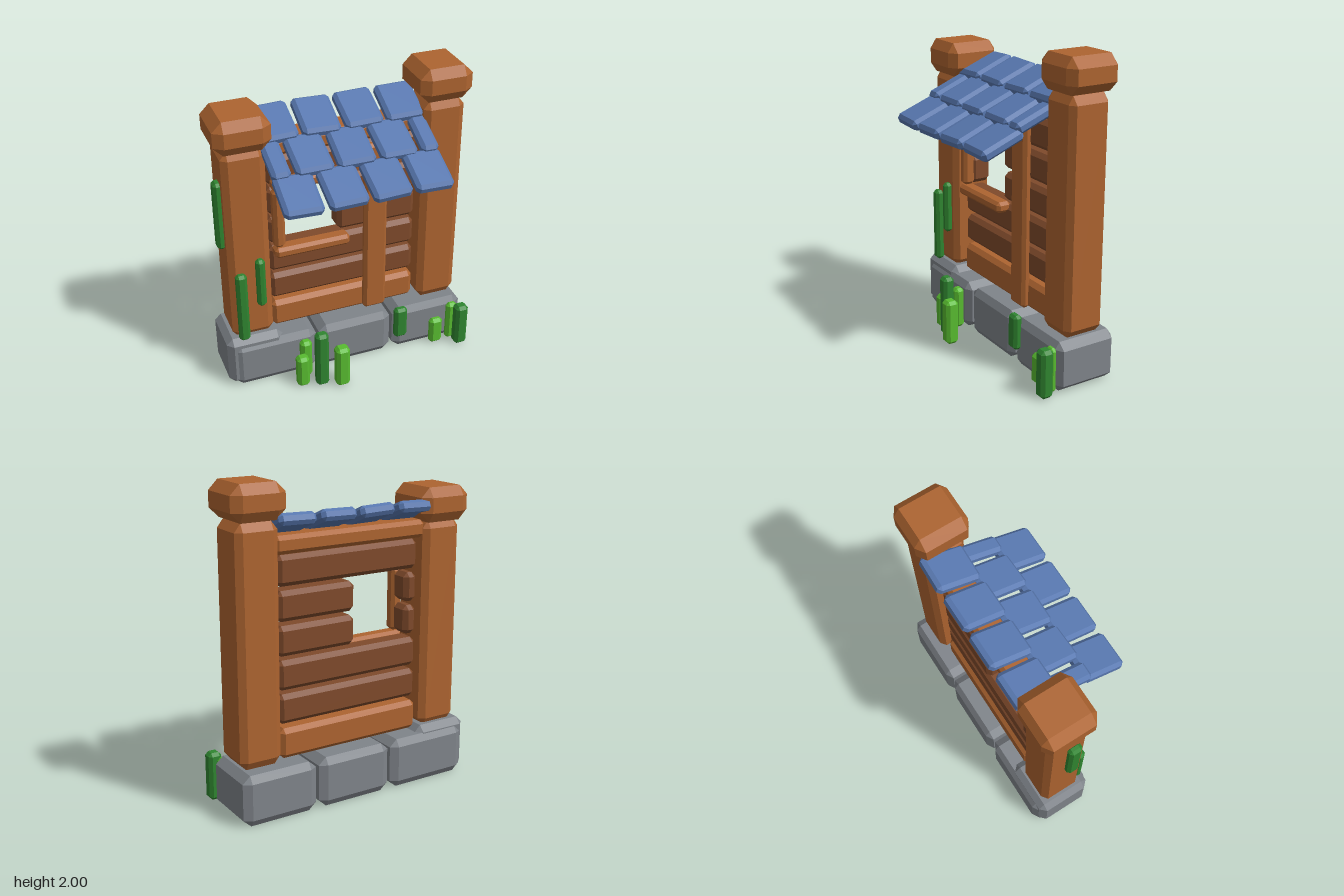
import * as THREE from 'three';
import { ConvexGeometry } from 'three/addons/geometries/ConvexGeometry.js';

const material = (name, color) => {
  const m = new THREE.MeshStandardMaterial({ color });
  m.name = name;
  return m;
};

// Box with flat chamfered edges and corners; cut is the chamfer along x, y, z
function chamferBox(w, h, d, cut) {
  const half = [w / 2, h / 2, d / 2];
  const c = (Array.isArray(cut) ? cut : [cut, cut, cut]).map((v, i) => Math.min(v, half[i] * 0.8));
  const points = [];
  for (const sx of [-1, 1]) for (const sy of [-1, 1]) for (const sz of [-1, 1]) {
    for (let axis = 0; axis < 3; axis++) {
      const p = half.map((v, i) => (i === axis ? v : v - c[i]));
      points.push(new THREE.Vector3(p[0] * sx, p[1] * sy, p[2] * sz));
    }
  }
  return new ConvexGeometry(points);
}

export function createModel() {
  const model = new THREE.Group();
  model.name = 'wallWithWindow';
  const wood = material('wood', 0xad6430);
  const darkWood = material('darkWood', 0x7f4a2b);
  const stone = material('stone', 0x7f848a);
  const slate = material('blueSlate', 0x5878b0);
  const darkGreen = material('darkGreen', 0x2f8530);
  const lightGreen = material('lightGreen', 0x58bb30);

  // Chamfered block given by its extents
  function block(name, mat, [x0, x1], [y0, y1], [z0, z1], cut) {
    const mesh = new THREE.Mesh(chamferBox(x1 - x0, y1 - y0, z1 - z0, cut), mat);
    mesh.position.set((x0 + x1) / 2, (y0 + y1) / 2, (z0 + z1) / 2);
    mesh.name = name;
    model.add(mesh);
    return mesh;
  }

  // Stone footing
  for (const x of [[-0.79, -0.23], [-0.21, 0.295], [0.315, 0.81]]) {
    block('footingStone', stone, x, [0, 0.32], [-0.385, 0.025], [0.05, 0.045, 0.03]);
  }
  block('cornerStone', stone, [-0.825, -0.45], [0.01, 0.36], [-0.36, 0.01], 0.04);

  // Posts and their caps
  block('rightPost', wood, [-0.77, -0.5], [0.34, 1.68], [-0.31, -0.04], [0.04, 0.05, 0.03]);
  block('leftPost', wood, [0.515, 0.785], [0.325, 1.78], [-0.31, -0.04], [0.04, 0.05, 0.03]);
  block('rightPostCap', wood, [-0.81, -0.46], [1.67, 1.885], [-0.355, -0.005], [0.06, 0.06, 0.04]);
  block('leftPostCap', wood, [0.475, 0.82], [1.785, 2], [-0.35, -0.005], [0.06, 0.06, 0.04]);

  // Wall planks, the middle two rows broken by the window
  const planks = [-0.255, -0.11];
  block('bottomPlank', wood, [-0.49, 0.5], [0.325, 0.515], [-0.27, -0.1], 0.028);
  for (const [row, y] of [0.54, 0.75, 0.96, 1.17, 1.38].entries()) {
    const spans = row === 2 || row === 3 ? [[-0.49, -0.4], [-0.03, 0.5]] : [[-0.49, 0.5]];
    for (const x of spans) block('wallPlank', darkWood, x, [y, y + 0.185], planks, 0.028);
  }
  block('roofBeam', wood, [-0.52, 0.53], [1.575, 1.685], [-0.285, -0.1], 0.025);

  // Upright board and window frame
  block('uprightBoard', wood, [0.135, 0.29], [0.33, 1.56], [-0.12, -0.06], 0.02);
  block('windowSill', wood, [-0.465, 0.03], [0.885, 0.957], [-0.14, -0.04], 0.02);
  block('windowHead', wood, [-0.465, 0.03], [1.36, 1.435], [-0.14, -0.05], 0.02);
  block('windowJamb', wood, [-0.465, -0.393], [0.96, 1.365], [-0.13, -0.05], 0.02);

  // Sloping roof of three staggered tile rows
  const whole = [[-0.52, -0.28], [-0.25, -0.01], [0.02, 0.26], [0.29, 0.53]];
  const staggered = [[-0.52, -0.405], [-0.375, -0.14], [-0.11, 0.125], [0.155, 0.39], [0.42, 0.53]];
  const rows = [
    { spans: whole, y: 1.49, z: 0.235 },
    { spans: staggered, y: 1.615, z: 0.008 },
    { spans: whole, y: 1.74, z: -0.215 },
  ];
  const turns = [-0.03, 0.015, 0.03, -0.02, 0.02];
  rows.forEach(({ spans, y, z }, r) => spans.forEach(([x0, x1], i) => {
    const tile = new THREE.Mesh(chamferBox(x1 - x0, 0.072, 0.29, [0.022, 0.02, 0.022]), slate);
    tile.name = 'roofTile';
    tile.position.set((x0 + x1) / 2, y, z);
    tile.rotation.set(0.385, turns[(i + r) % 5] * 0.7, turns[(i + 2 * r) % 5]);
    model.add(tile);
  }));

  // Vines on the posts and footing
  const vines = [
    [[-0.74, -0.67], [0.35, 0.85], [-0.05, 0.01]],
    [[-0.607, -0.55], [0.59, 0.935], [-0.05, 0.01]],
    [[-0.812, -0.755], [1, 1.46], [-0.185, -0.1]],
    [[0.312, 0.4], [0.12, 0.35], [0.01, 0.07]],
  ];
  for (const v of vines) block('vine', darkGreen, ...v, 0.018);

  // Grass blades on the ground
  const grass = [
    [darkGreen, [0.73, 0.817], [0, 0.31], [0.065, 0.15]],
    [darkGreen, [-0.297, -0.213], [0, 0.41], [0.138, 0.215]],
    [lightGreen, [-0.178, -0.088], [0, 0.3], [0.18, 0.267]],
    [lightGreen, [-0.415, -0.335], [0, 0.23], [0.1, 0.18]],
    [lightGreen, [-0.36, -0.285], [0, 0.28], [0.02, 0.09]],
    [lightGreen, [0.575, 0.665], [0, 0.195], [0.015, 0.075]],
    [lightGreen, [0.7, 0.775], [0, 0.29], [0.01, 0.065]],
  ];
  for (const [mat, ...extents] of grass) block('grassBlade', mat, ...extents, 0.02);

  return model;
}
